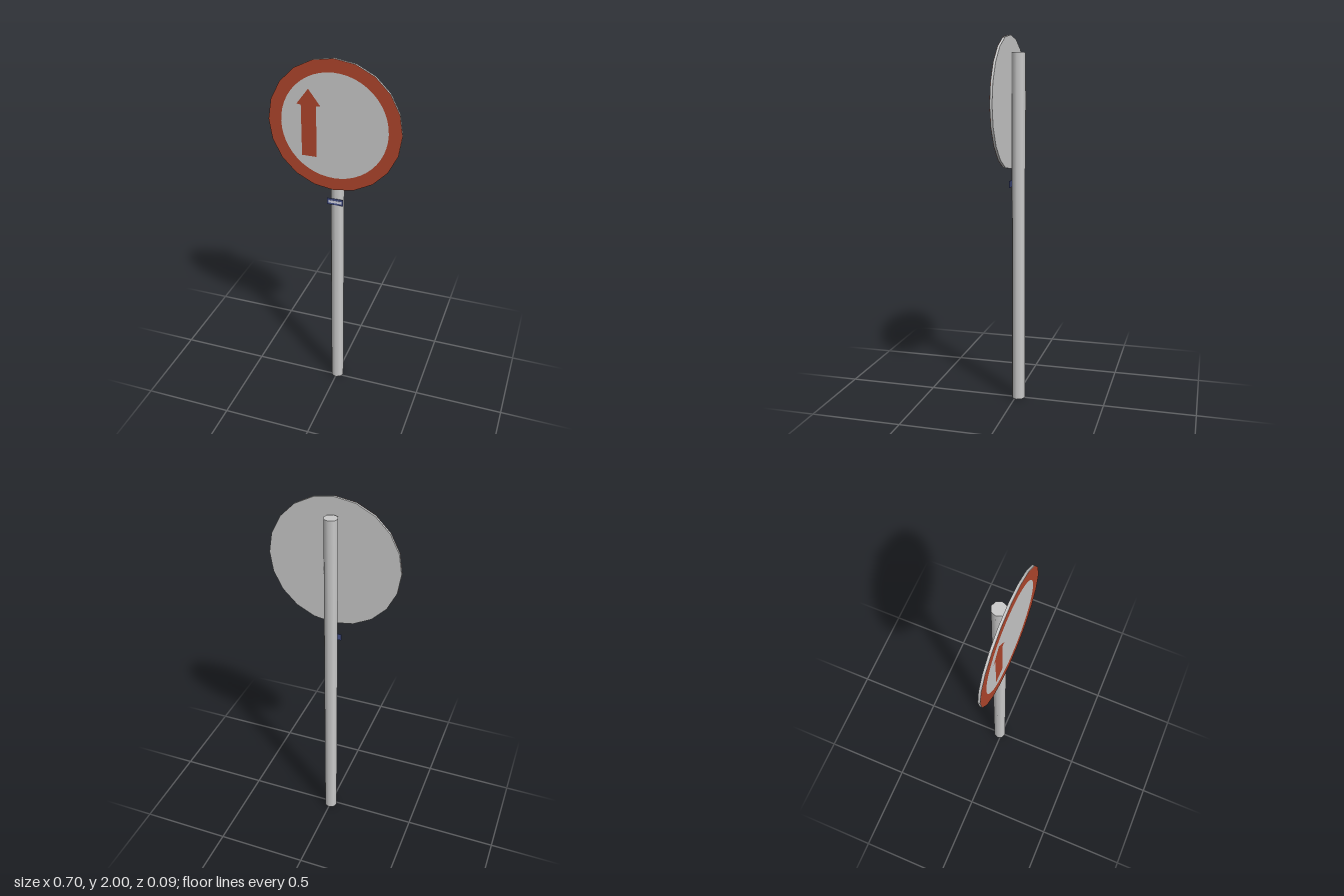
import * as THREE from 'three';

const material = (name, color, side = THREE.FrontSide) => {
  const m = new THREE.MeshStandardMaterial({ color, side });
  m.name = name;
  return m;
};

export function createModel() {
  const group = new THREE.Group();
  group.name = 'roadSign';
  const grey = material('galvanised grey', 0xcacaca);
  const red = material('sign red', 0xb0462c, THREE.DoubleSide);
  const navy = material('label blue', 0x46528c);
  const pale = material('label pale', 0xd6d8e8);

  const add = (name, geometry, mat, x, y, z) => {
    const mesh = new THREE.Mesh(geometry, mat);
    mesh.name = name;
    mesh.position.set(x, y, z);
    group.add(mesh);
    return mesh;
  };

  // Octagonal pole
  add('pole', new THREE.CylinderGeometry(0.0375, 0.0375, 1.91, 8), grey, 0, 0.955, -0.0145);

  // Twenty-sided sign plate
  const radius = 0.35, signY = 1.65, faceZ = 0.0405;
  const plate = new THREE.CylinderGeometry(radius, radius, 0.0125, 20).rotateX(Math.PI / 2);
  add('signPlate', plate, grey, 0, signY, 0.034);

  // Red border: faceted outside, round inside
  const border = new THREE.Shape();
  for (let i = 0; i < 20; i++) {
    const a = (i / 20) * Math.PI * 2;
    border[i ? 'lineTo' : 'moveTo'](radius * Math.cos(a), radius * Math.sin(a));
  }
  border.closePath();
  border.holes.push(new THREE.Path().absarc(0, 0, 0.281, 0, Math.PI * 2, true));
  add('redBorder', new THREE.ShapeGeometry(border, 24), red, 0, signY, faceZ + 0.0005);

  // Upward arrow left of centre
  const arrow = new THREE.Shape([
    [-0.04, 0], [0.04, 0], [0.04, 0.273], [0.063, 0.276],
    [0, 0.36], [-0.063, 0.276], [-0.04, 0.273],
  ].map(([x, y]) => new THREE.Vector2(x, y)));
  add('arrow', new THREE.ShapeGeometry(arrow), red, -0.133, 1.475, faceZ + 0.0005);

  // Small blank label on the front of the pole
  add('label', new THREE.BoxGeometry(0.088, 0.036, 0.004), navy, 0, 1.22, 0.0235);
  add('labelStripe', new THREE.BoxGeometry(0.072, 0.014, 0.001), pale, 0, 1.22, 0.026);

  return group;
}
